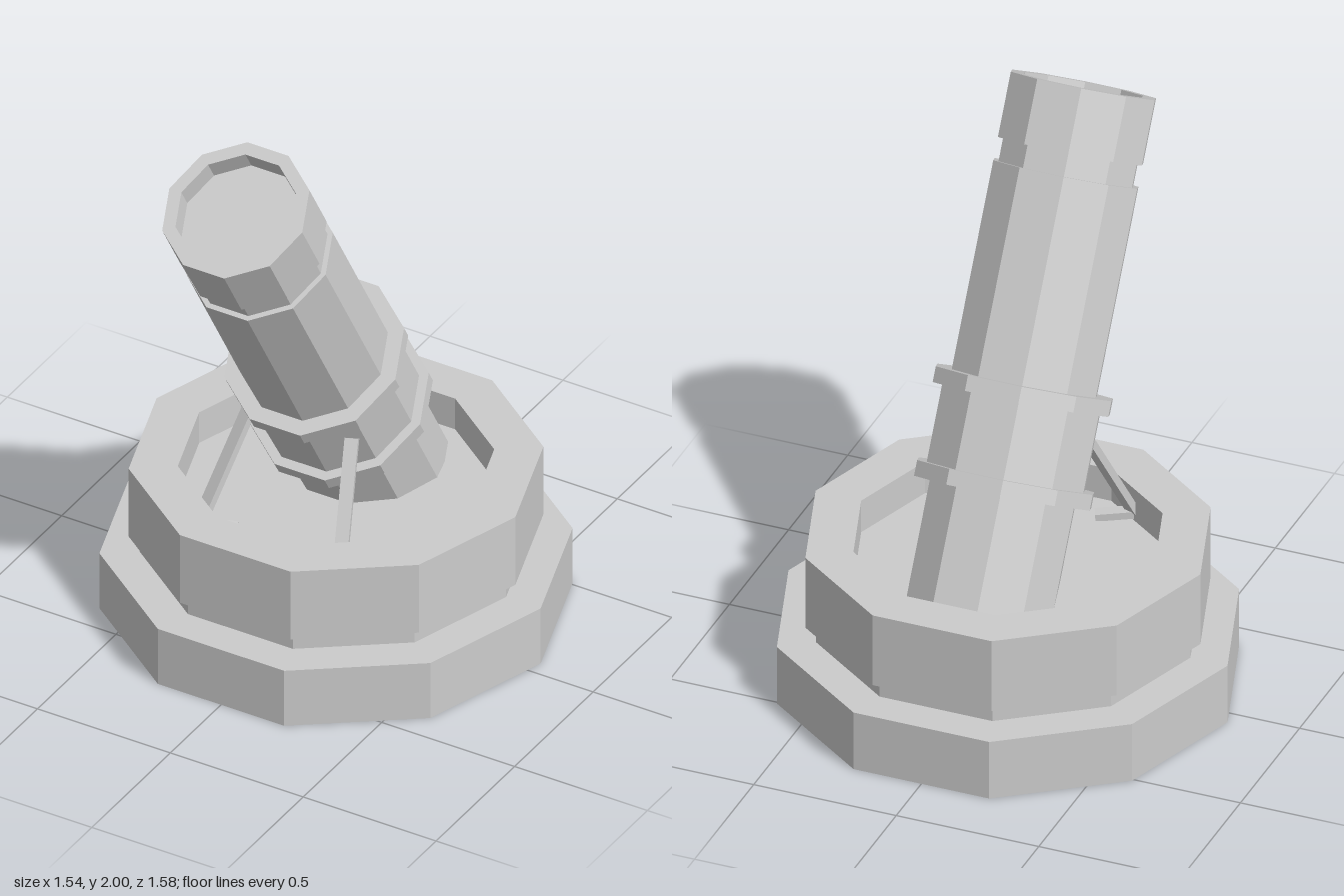
import * as THREE from 'three';

const SIDES = 10;
const TILT = THREE.MathUtils.degToRad(30.5);

const material = new THREE.MeshStandardMaterial({
  color: 0xcccccc, flatShading: true, side: THREE.DoubleSide,
});

// Ten-sided turned part with corners on the x axis; profile is [radius, height] pairs
function turned(name, profile) {
  const points = profile.map(([r, y]) => new THREE.Vector2(r, y));
  const mesh = new THREE.Mesh(new THREE.LatheGeometry(points, SIDES, Math.PI / SIDES), material);
  mesh.name = name;
  return mesh;
}

// Rectangular bar running from a to b
function bar(name, a, b, width, thickness) {
  const mesh = new THREE.Mesh(new THREE.BoxGeometry(width, thickness, a.distanceTo(b)), material);
  mesh.name = name;
  mesh.position.copy(a).lerp(b, 0.5);
  mesh.lookAt(b);
  return mesh;
}

export function createModel() {
  const model = new THREE.Group();
  model.name = 'mortar';

  // Stepped base: hollow underneath, with a sunken floor on top
  const base = turned('base', [
    [0.77, 0], [0.77, 0.215], [0.64, 0.215], [0.64, 0.275],
    [0.675, 0.275], [0.675, 0.54], [0.515, 0.54], [0.515, 0.42], [0, 0.42],
  ]);
  base.position.z = -0.055;
  model.add(base);

  // Tilted barrel, measured down from the centre of its muzzle
  const barrel = new THREE.Group();
  barrel.name = 'barrel';
  barrel.position.set(0, 1.88, 0.583);
  barrel.rotation.x = TILT;
  barrel.add(turned('barrelTube', [
    [0, -1.74], [0.25, -1.74], [0.25, -0.293], [0.232, -0.293], [0.232, -0.216],
    [0.25, -0.216], [0.25, 0], [0.205, 0], [0.205, -0.075], [0, -0.075],
  ]));

  // Clamp sleeve with a raised ring at each end
  barrel.add(turned('clampSleeve', [[0.272, -1.32], [0.272, -1.01]]));
  for (const [name, y] of [['upperClampRing', -1.01], ['lowerClampRing', -1.32]]) {
    barrel.add(turned(name, [
      [0.25, y - 0.026], [0.305, y - 0.026], [0.305, y + 0.026], [0.25, y + 0.026],
    ]));
  }
  model.add(barrel);

  // Pair of support struts with inward feet on the floor
  for (const [side, s] of [['left', 1], ['right', -1]]) {
    const top = new THREE.Vector3(s * 0.19, 0.81, 0.165);
    const heel = new THREE.Vector3(s * 0.265, 0.44, 0.37);
    const toe = new THREE.Vector3(s * 0.15, 0.43, 0.32);
    model.add(bar(side + 'Strut', heel, top, 0.045, 0.025));
    model.add(bar(side + 'Foot', heel, toe, 0.045, 0.025));
  }

  return model;
}
